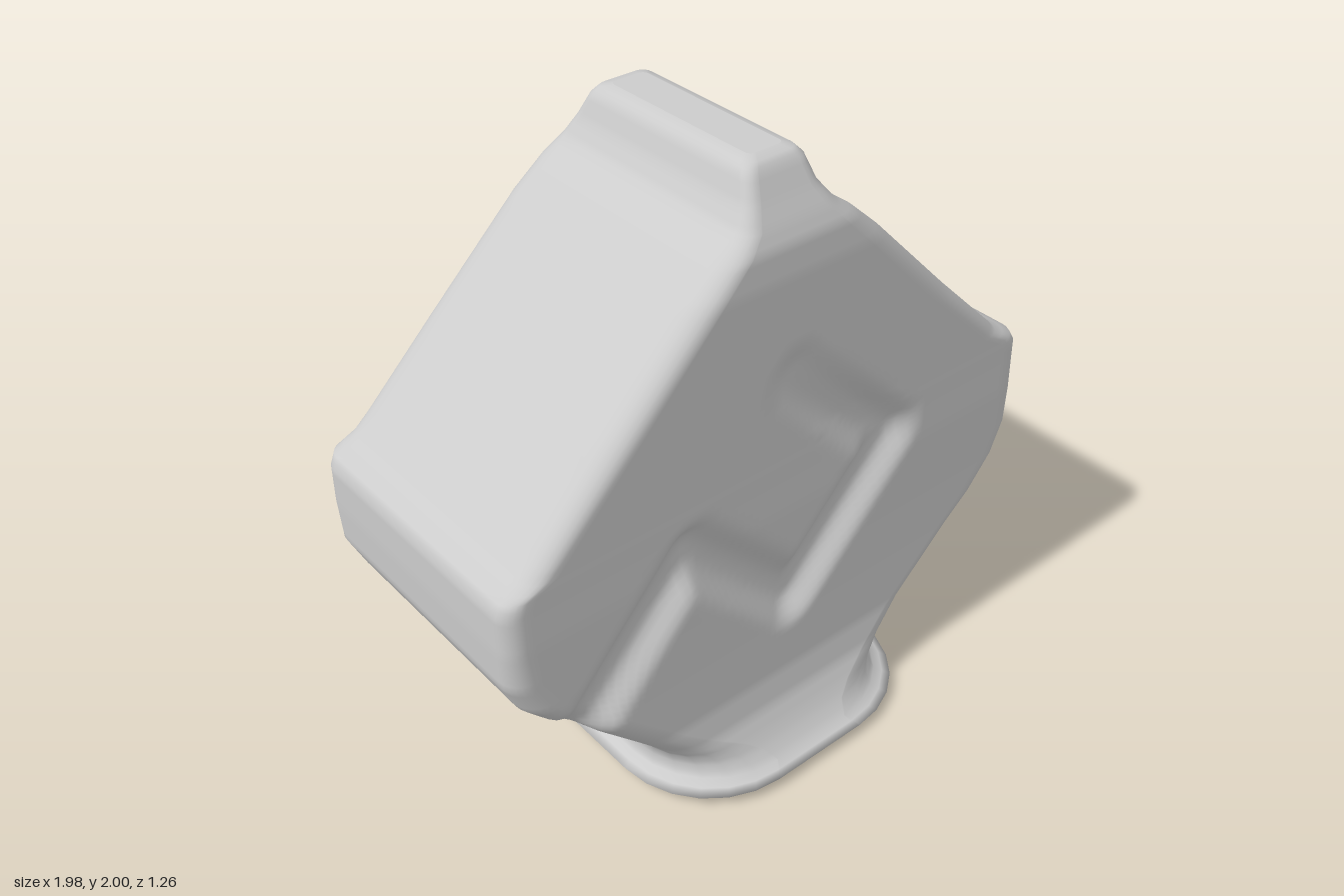
import * as THREE from 'three';

// Horizontal sections: [y, left x, right x, half depth, corner radius]
const SECTIONS = [
  [0.00, -0.44, 0.46, 0.54, 0.32], [0.015, -0.47, 0.50, 0.59, 0.33],
  [0.035, -0.50, 0.53, 0.63, 0.34], [0.06, -0.45, 0.485, 0.585, 0.32],
  [0.10, -0.44, 0.465, 0.55, 0.28], [0.14, -0.445, 0.465, 0.525, 0.23],
  [0.20, -0.48, 0.49, 0.495, 0.16], [0.30, -0.57, 0.57, 0.475, 0.12],
  [0.50, -0.76, 0.78, 0.468, 0.10], [0.58, -0.85, 0.88, 0.466, 0.10],
  [0.68, -0.935, 0.95, 0.464, 0.08], [0.79, -0.985, 0.99, 0.462, 0.07],
  [0.92, -0.99, 0.99, 0.46, 0.06], [1.05, -0.99, 0.99, 0.456, 0.06],
  [1.09, -0.975, 0.99, 0.455, 0.06], [1.12, -0.915, 0.975, 0.454, 0.07],
  [1.16, -0.87, 0.90, 0.453, 0.07], [1.40, -0.635, 0.655, 0.448, 0.08],
  [1.70, -0.33, 0.36, 0.44, 0.08], [1.79, -0.22, 0.26, 0.43, 0.07],
  [1.84, -0.15, 0.19, 0.408, 0.05], [1.90, -0.115, 0.145, 0.375, 0.04],
  [1.97, -0.09, 0.125, 0.34, 0.035], [1.993, -0.07, 0.105, 0.32, 0.03],
  [2.00, -0.04, 0.08, 0.29, 0.02],
];

// Centre line of the zigzag groove on the front and back faces
const GROOVE = [[-0.82, 0.46], [-0.37, 0.95], [0.02, 0.58], [0.41, 0.99], [0.02, 1.37]];

function grooveDepth(x, y) {
  let best = Infinity;
  for (let i = 0; i + 1 < GROOVE.length; i++) {
    const [ax, ay] = GROOVE[i], [bx, by] = GROOVE[i + 1];
    const dx = bx - ax, dy = by - ay;
    const t = THREE.MathUtils.clamp(((x - ax) * dx + (y - ay) * dy) / (dx * dx + dy * dy), 0, 1);
    best = Math.min(best, Math.hypot(x - ax - t * dx, y - ay - t * dy));
  }
  const fade = 1 - 0.6 * THREE.MathUtils.smoothstep(y, 1.05, 1.4);
  return 0.05 * fade * (1 - THREE.MathUtils.smoothstep(best, 0.025, 0.12));
}

// Rounded rectangle, running from +x towards +z
function ring([y, xl, xr, d, r]) {
  const pts = [], ARC = 6;
  const corners = [[xr - r, d - r], [xl + r, d - r], [xl + r, r - d], [xr - r, r - d]];
  corners.forEach(([cx, cz], q) => {
    for (let k = 0; k <= ARC; k++) {
      const a = (q + k / ARC) * Math.PI / 2;
      pts.push([cx + r * Math.cos(a), cz + r * Math.sin(a)]);
    }
    // straight edge to the next corner
    const [nx, nz] = corners[(q + 1) % 4];
    const a = (q + 1) * Math.PI / 2, n = q % 2 ? 10 : 64;
    for (let k = 1; k < n; k++) {
      const t = k / n;
      pts.push([cx + (nx - cx) * t + r * Math.cos(a), cz + (nz - cz) * t + r * Math.sin(a)]);
    }
  });
  return pts.map(([x, z]) => {
    const face = THREE.MathUtils.smoothstep(Math.abs(z) / d, 0.75, 1);
    return [x, y, z - Math.sign(z) * face * grooveDepth(x, y)];
  });
}

function loftGeometry() {
  // subdivide between the given sections
  const rows = [];
  SECTIONS.forEach((s, i) => {
    rows.push(s);
    const next = SECTIONS[i + 1];
    if (!next) return;
    const n = Math.ceil((next[0] - s[0]) / 0.022);
    for (let k = 1; k < n; k++) rows.push(s.map((v, j) => v + (next[j] - v) * k / n));
  });
  const rings = rows.map(ring), N = rings[0].length;
  const pos = [], idx = [];
  rings.forEach(p => p.forEach(v => pos.push(...v)));
  for (let i = 0; i + 1 < rings.length; i++) {
    for (let j = 0; j < N; j++) {
      const k = (j + 1) % N;
      const a = i * N + j, b = i * N + k, c = a + N, d = b + N;
      idx.push(a, c, b, b, c, d);
    }
  }
  // caps on their own vertices so they stay flat
  const addCap = (points, up) => {
    const base = pos.length / 3;
    points.forEach(v => pos.push(...v));
    pos.push(0.02, points[0][1], 0);
    for (let j = 0; j < N; j++) {
      const k = (j + 1) % N;
      idx.push(base + N, base + (up ? k : j), base + (up ? j : k));
    }
  };
  addCap(rings[0], false);
  addCap(rings[rings.length - 1], true);
  const g = new THREE.BufferGeometry();
  g.setAttribute('position', new THREE.Float32BufferAttribute(pos, 3));
  g.setIndex(idx);
  g.computeVertexNormals();
  return g;
}

export function createModel() {
  const group = new THREE.Group();
  group.name = 'diamondBlock';
  // one continuous body: flared foot, grooved diamond and top ridge
  const body = new THREE.Mesh(loftGeometry(), new THREE.MeshStandardMaterial({ color: 0xcccccc }));
  body.name = 'body';
  group.add(body);
  return group;
}
